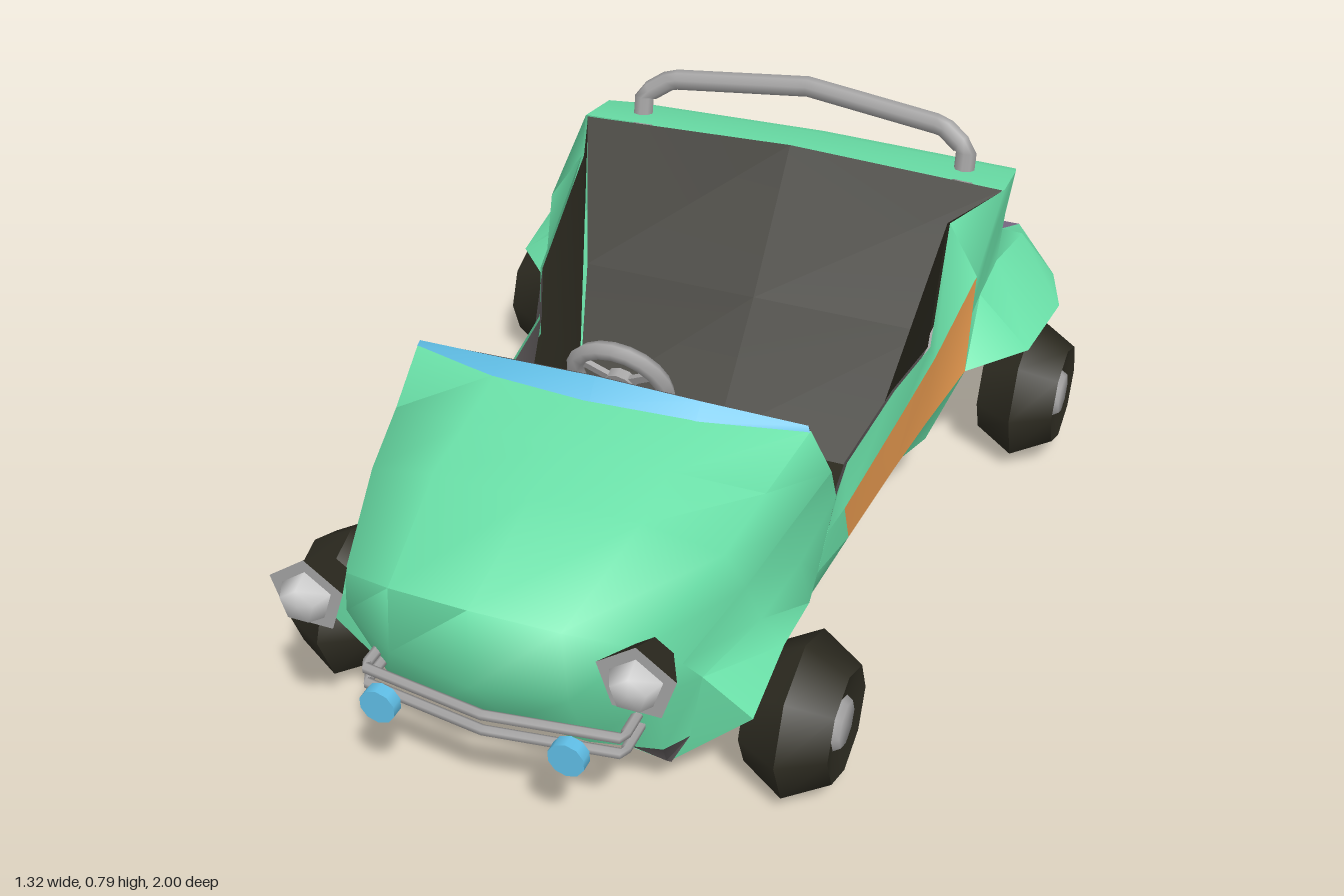
import * as THREE from 'three';
import { toCreasedNormals } from 'three/addons/utils/BufferGeometryUtils.js';

function paint(name, color) {
  const m = new THREE.MeshStandardMaterial({ color, side: THREE.DoubleSide });
  m.name = name;
  return m;
}

// Surface through rows of [x, y, z] points
function grid(rows, crease = 0.9) {
  const pos = [], n = rows[0].length;
  for (let i = 0; i + 1 < rows.length; i++) {
    for (let j = 0; j + 1 < n; j++) {
      const a = rows[i][j], b = rows[i][j + 1], c = rows[i + 1][j + 1], d = rows[i + 1][j];
      pos.push(...a, ...d, ...b, ...b, ...d, ...c);
    }
  }
  const g = new THREE.BufferGeometry();
  g.setAttribute('position', new THREE.Float32BufferAttribute(pos, 3));
  return toCreasedNormals(g, crease);
}
const flip = ([x, y, z]) => [-x, y, z];
// Half rows (centre to edge) become full symmetric rows
const full = (rows) => rows.map((r) => [...r.slice(1).reverse().map(flip), ...r]);
const turned = (rows) => grid(full(rows).map((r) => r.reverse()));

export function createModel() {
  const green = paint('green body paint', 0x6ae0a8);
  const black = paint('black rubber', 0x2c2a20);
  const dark = paint('dark grey trim', 0x5f5a5b);
  const grey = paint('grey metal', 0xa4a3a3);
  const light = paint('pale lamp grey', 0xcccccc);
  const orange = paint('orange panel', 0xf2a153);
  const blue = paint('blue glass', 0x62c3ec);
  const purple = paint('purple trim', 0x7d6c87);

  const model = new THREE.Group();
  function add(name, geo, mat, p = [0, 0, 0], parent = model) {
    const m = new THREE.Mesh(geo, mat);
    m.name = name;
    m.position.set(...p);
    parent.add(m);
    return m;
  }

  // Hood and rounded nose, with a dark skid panel below
  const hood = [
    [[0, .665, .45], [.2, .66, .43], [.395, .645, .37], [.41, .5, .28], [.4, .395, .21], [.385, .24, .26], [.36, .155, .29]],
    [[0, .645, .58], [.2, .63, .56], [.365, .6, .52], [.38, .47, .46], [.395, .37, .4], [.415, .28, .4], [.34, .15, .4]],
    [[0, .62, .71], [.2, .605, .69], [.342, .56, .66], [.36, .45, .6], [.38, .36, .57], [.425, .315, .57], [.32, .14, .55]],
    [[0, .56, .96], [.16, .545, .94], [.28, .5, .88], [.32, .42, .8], [.335, .35, .745], [.43, .285, .745], [.265, .115, .73]],
  ];
  const noseLow = [[0, .21, .83], [.15, .2, .82], [.275, .19, .78], [.31, .2, .74]];
  add('hoodAndNose', grid(full([
    ...hood.map((r) => r.slice(0, 4)),
    [[0, .4, .97], [.17, .4, .94], [.305, .385, .85], [.335, .35, .745]],
    noseLow,
  ]), 1.3), green);
  add('skidPanel', grid(full([
    noseLow, [[0, .16, .74], [.14, .14, .735], [.26, .115, .73], [.27, .115, .73]],
  ])), dark);

  // Windscreen, dash panel and sloping toe board
  add('windscreen', grid(full([
    [[0, .7, .425], [.2, .685, .41], [.39, .655, .37]],
    [[0, .663, .457], [.2, .658, .437], [.395, .643, .374]],
  ])), blue);
  const toe = [.2, .4, .4], cowl = [.385, .395, .205], toeLow = [.33, .17, .13];
  add('dashPanel', grid(full([
    [[0, .7, .423], [.2, .685, .408], [.39, .65, .365]],
    [[0, .4, .4], toe, cowl],
  ])), dark);
  add('toeBoard', grid(full([[[0, .4, .4], toe], [[0, .17, .13], toeLow]])), black);

  // Tub sides: rim, stripe top, stripe bottom and sill at each station
  const stations = [
    [[.4, .395, .21], [.393, .32, .234], [.385, .24, .26], [.36, .155, .29]],
    [[.395, .418, .13], [.405, .335, .165], [.4, .225, .11], [.35, .155, .11]],
    [[.425, .467, -.075], [.43, .38, -.13], [.42, .24, -.12], [.36, .155, -.1]],
    [[.46, .505, -.2], [.46, .45, -.25], [.44, .255, -.29], [.38, .155, -.25]],
    [[.42, .655, -.45], [.49, .55, -.435], [.49, .335, -.4], [.42, .155, -.38]],
  ];
  const inset = [0, .04, .07, .05, 0];
  const bellyEnd = [[0, .155, -.58], [.42, .29, -.5]];
  const deckCorner = [.49, .66, -.63];
  for (const s of [1, -1]) {
    const label = s > 0 ? 'left' : 'right';
    const put = ([x, y, z]) => [s * x, y, z];
    // The right side leans inward along its rim
    const side = stations.map((st, i) => st.map(([x, y, z], j) =>
      put([s < 0 && (j < 2 || i === 3) ? x - inset[i] * (1 - j * .3) : x, y, z])));
    add(label + 'FrontFender', grid(hood.map((r) => r.slice(3).map(put))), green);
    add(label + 'FenderFront', grid([
      [[.335, .35, .745], [.43, .285, .745]], [[.31, .2, .74], [.265, .115, .73]],
    ].map((r) => r.map(put))), green);
    add(label + 'UpperSide', grid(side.map((st) => st.slice(0, 2))), green);
    add(label + 'Sill', grid(side.map((st) => st.slice(2))), green);
    add(label + 'FrontPillar', grid(side.slice(0, 2).map((st) => st.slice(1, 3))), green);
    add(label + 'OrangeStripe', grid(side.slice(1).map((st) => st.slice(1, 3))), orange);

    // Inner lining from rim to floor, grey where it meets the dash
    const rim = side.map(([[x, y, z]]) => [x - s * .005, y, z]);
    const rearFloor = put([.33, .17, -.2]);
    add(label + 'DashCorner', grid([[put(toe), put(cowl)], [put(toe), put(toeLow)]]), dark);
    add(label + 'FrontLining', grid(rim.slice(0, 4).map((p) => [p, put(toeLow)])), dark);
    add(label + 'Lining', grid([
      [rim[3], put(toeLow)], [rim[3], rearFloor], [rim[4], rearFloor], [put([.485, .655, -.63]), rearFloor],
    ]), black);

    // Rear quarter, flared fender and wheel arch
    const root = [[.48, .43, -.42], [.475, .44, -.55], [.47, .44, -.71], [.485, .42, -.888]].map(put);
    const edge = [[.49, .335, -.4], [.6, .35, -.51], [.62, .356, -.71], [.57, .34, -.87]].map(put);
    const arch = [[.42, .155, -.38], bellyEnd[1], [.46, .4, -.76]].map(put);
    add(label + 'RearQuarter', grid([
      [side[4][0], side[4][1], root[0]],
      [put(deckCorner), put([.48, .56, -.6]), root[1]],
      [put([.485, .645, -.75]), put([.475, .55, -.73]), root[2]],
      [put([.46, .59, -.87]), put([.45, .46, -.82]), root[3]],
    ]), green);
    add(label + 'RearFender', grid([root, edge]), green);
    add(label + 'RearArch', grid([root.slice(0, 3), arch]), green);
    add(label + 'ArchFront', grid([[side[4][1], side[4][2]], [root[0], side[4][3]]]), green);
  }

  // Cabin floor, seat back and underside
  add('floor', grid(full([[[0, .17, -.2], [.33, .17, -.2]], [[0, .17, .13], toeLow]])), black);
  add('seatBack', grid(full([
    [[0, .67, -.64], [.485, .658, -.628]],
    [[0, .4, -.42], [.4, .4, -.42]],
    [[0, .17, -.2], [.33, .17, -.2]],
  ])), black);
  add('underside', turned([
    bellyEnd,
    ...stations.map((st) => [[0, .155, st[3][2]], st[3]]).reverse(),
    [[0, .16, .74], [.265, .115, .73]],
  ]), green);
  add('undersideSlot', new THREE.BoxGeometry(.68, .004, .06), black, [0, .1535, .13]);
  add('engineCover', turned([[[0, .42, -.8], [.47, .42, -.8]], bellyEnd]), grey);

  // Rear deck, purple shelf and tail panel
  const recess = [[0, .465, -.82], [.45, .46, -.82]];
  const shelf = [[0, .44, -.9], [.475, .44, -.893]];
  add('rearDeck', turned([
    [[0, .67, -.64], deckCorner],
    [[0, .655, -.75], [.485, .645, -.75]],
    [[0, .595, -.88], [.46, .59, -.87]],
    recess,
  ]), green);
  add('rearShelf', turned([recess, shelf]), purple);
  add('tailPanel', turned([
    shelf,
    [[0, .335, -.912], [.57, .34, -.87]],
    [[0, .225, -.91], [.5, .2, -.9]],
  ]), green);
  add('plateFrame', new THREE.BoxGeometry(.27, .1, .008), orange, [0, .335, -.925]);
  add('plate', new THREE.BoxGeometry(.24, .07, .008), grey, [0, .335, -.929]);

  // Wheels
  const tyre = toCreasedNormals(new THREE.LatheGeometry(
    [[0, -.07], [.06, -.072], [.112, -.085], [.16, 0], [.112, .085], [.06, .072], [0, .07]]
      .map(([x, y]) => new THREE.Vector2(x, y)), 8).rotateZ(-Math.PI / 2), 0.9);
  const hub = toCreasedNormals(new THREE.CylinderGeometry(.045, .06, .024, 8).rotateZ(-Math.PI / 2), 1.1);
  for (const [name, x, z] of [['front', .463, .565], ['rear', .575, -.66]]) {
    for (const s of [1, -1]) {
      const wheel = new THREE.Group();
      wheel.name = name + (s > 0 ? 'Left' : 'Right') + 'Wheel';
      wheel.position.set(s * x, .16, z);
      wheel.rotation.y = s > 0 ? 0 : Math.PI;
      add('tyre', tyre, black, [0, 0, 0], wheel);
      add('hub', hub, grey, [.073, 0, 0], wheel);
      model.add(wheel);
    }
  }

  // Five-sided lamps, front and back
  const fiveSided = (r1, r2, h, crease) => toCreasedNormals(
    new THREE.CylinderGeometry(r1, r2, h, 5).rotateY(Math.PI).rotateX(Math.PI / 2), crease);
  const cup = fiveSided(.075, .035, .08, 0.6);
  const lens = fiveSided(.034, .05, .035, 1.4);
  for (const [name, x, y, z, turn] of [['headlight', .305, .505, .925, 0], ['tailLight', .33, .335, -.925, Math.PI]]) {
    for (const s of [1, -1]) {
      const lamp = new THREE.Group();
      lamp.name = name;
      lamp.position.set(s * x, y, z);
      lamp.rotation.y = turn;
      add('lampCup', cup, [black, grey, black], [0, 0, 0], lamp);
      add('lampLens', lens, light, [0, 0, .0575], lamp);
      model.add(lamp);
    }
  }

  // Tubes: bumper bars and roll bar
  const tube = (pts, r, sides) => {
    const path = new THREE.CurvePath();
    const v = pts.map((p) => new THREE.Vector3(...p));
    for (let i = 0; i + 1 < v.length; i++) path.add(new THREE.LineCurve3(v[i], v[i + 1]));
    return new THREE.TubeGeometry(path, 40, r, sides);
  };
  for (const y of [.31, .275]) {
    add('bumperBar', tube([[-.25, y, .82], [-.25, y, .9], [0, y, .935], [.25, y, .9], [.25, y, .82]], .01, 6), grey);
  }
  add('rollBar', tube([[-.38, .62, -.7], [-.38, .695, -.715], [-.32, .735, -.73], [0, .763, -.752],
    [.32, .735, -.73], [.38, .695, -.715], [.38, .62, -.7]], .023, 8), grey);
  for (const s of [1, -1]) {
    add('fogLight', new THREE.CylinderGeometry(.035, .035, .025, 10).rotateX(Math.PI / 2), blue, [s * .18, .305, .968]);
  }

  // Twin exhaust pipes
  for (const x of [-.22, -.31]) {
    add('exhaustPipe', new THREE.CylinderGeometry(.034, .034, .42, 8).rotateX(-Math.PI / 2), [grey, black, black], [x, .18, -.76]);
  }

  // Steering wheel on its column
  const steering = new THREE.Group();
  steering.name = 'steeringWheel';
  steering.position.set(0, .62, .313);
  steering.rotation.x = .36;
  add('steeringRim', new THREE.TorusGeometry(.092, .018, 6, 20), grey, [0, 0, 0], steering);
  for (let i = 0; i < 3; i++) {
    const spoke = add('spoke', new THREE.BoxGeometry(.016, .09, .01).translate(0, -.045, 0), grey, [0, 0, 0], steering);
    spoke.rotation.z = i * Math.PI * 2 / 3;
  }
  add('steeringHub', new THREE.CylinderGeometry(.03, .03, .02, 10).rotateX(Math.PI / 2), grey, [0, 0, 0], steering);
  add('steeringColumn', new THREE.CylinderGeometry(.012, .012, .1, 8).rotateX(Math.PI / 2), grey, [0, 0, .05], steering);
  model.add(steering);

  return model;
}
